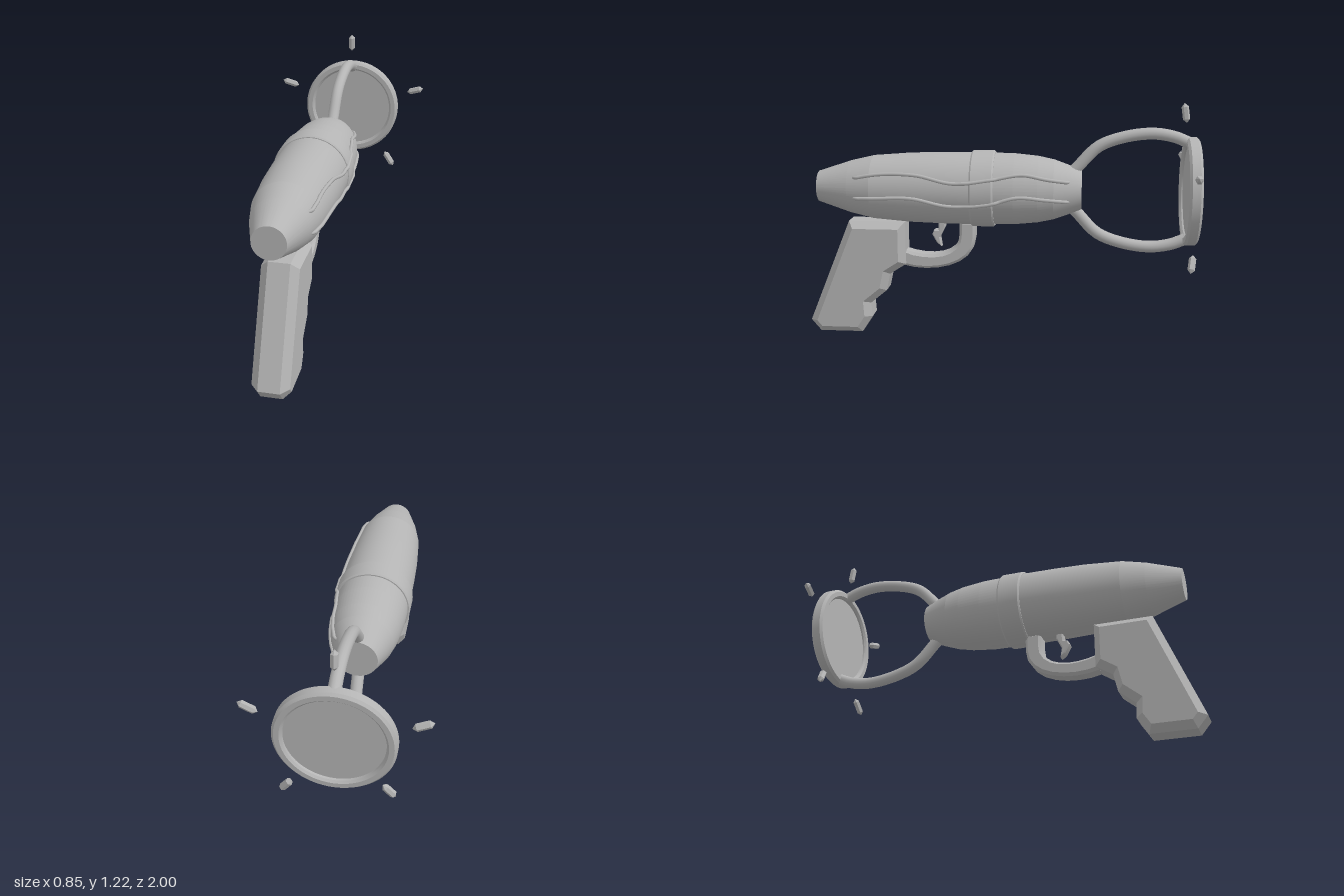
import * as THREE from 'three';
import { toCreasedNormals } from 'three/addons/utils/BufferGeometryUtils.js';

const AXIS_Y = 0.773;
const BODY = [[0.94, 0.08], [0.77, 0.136], [0.65, 0.164], [0.46, 0.179], [0.3, 0.184], [0.12, 0.186], [-0.08, 0.182],
  [-0.2, 0.17], [-0.28, 0.153], [-0.35, 0.128], [-0.42, 0.1]];

// Body radius at a given z
function bodyRadius(z) {
  for (let i = 0; i < BODY.length - 1; i++) {
    const [za, ra] = BODY[i], [zb, rb] = BODY[i + 1];
    if (z <= za && z >= zb) return ra + (rb - ra) * (za - z) / (za - zb);
  }
  return 0.1;
}

export function createModel() {
  const group = new THREE.Group();
  const grey = new THREE.MeshStandardMaterial({ color: 0xb4b4b4 });
  grey.name = 'grey';

  function add(name, geometry) {
    const mesh = new THREE.Mesh(geometry, grey);
    mesh.name = name;
    group.add(mesh);
    return mesh;
  }

  // Lathe about the barrel axis; profile is [z, radius] from back to front
  function turned(name, profile) {
    const g = new THREE.LatheGeometry(profile.map(([z, r]) => new THREE.Vector2(r, z)), 64);
    g.rotateX(Math.PI / 2);
    g.translate(0, AXIS_Y, 0);
    return add(name, toCreasedNormals(g, 0.11));
  }

  // Side outline [z, y] extruded across x with chamfered edges
  function slab(name, shape, halfWidth, bevel, inset) {
    const g = new THREE.ExtrudeGeometry(shape, {
      depth: 2 * (halfWidth - bevel), bevelEnabled: bevel > 0, bevelThickness: bevel,
      bevelSize: inset, bevelOffset: -inset, bevelSegments: 1, curveSegments: 8,
    });
    g.translate(0, 0, -(halfWidth - bevel));
    g.rotateY(-Math.PI / 2);
    return add(name, toCreasedNormals(g, 0.4));
  }
  const outline = (pts) => new THREE.Shape(pts.map(([z, y]) => new THREE.Vector2(z, y)));

  // Barrel and its band
  turned('body', [[-0.42, 0], ...BODY.slice().reverse(), [0.94, 0]]);
  turned('bodyBand', [[0.02, 0.17], [0.02, 0.19], [0.028, 0.196], [0.132, 0.196], [0.14, 0.19], [0.14, 0.17]]);

  // Grip with finger notches
  slab('grip', outline([[0.78, 0.6], [1.0, 0.06], [0.95, 0], [0.725, 0], [0.67, 0.085], [0.675, 0.16],
    [0.59, 0.23], [0.57, 0.32], [0.485, 0.375], [0.485, 0.6]]), 0.09, 0.038, 0.035);

  // Trigger guard
  const guard = new THREE.Shape();
  guard.moveTo(0.5, 0.365);
  guard.bezierCurveTo(0.36, 0.325, 0.125, 0.36, 0.122, 0.52);
  guard.lineTo(0.122, 0.605);
  guard.lineTo(0.205, 0.605);
  guard.lineTo(0.205, 0.54);
  guard.bezierCurveTo(0.2, 0.42, 0.36, 0.4, 0.5, 0.45);
  slab('triggerGuard', guard, 0.045, 0.014, 0.014);

  // Trigger
  slab('trigger', outline([[0.28, 0.61], [0.28, 0.57], [0.308, 0.515], [0.3, 0.465], [0.325, 0.485],
    [0.35, 0.53], [0.34, 0.552], [0.318, 0.555], [0.315, 0.61]]), 0.025, 0.006, 0.006);

  // Curved arms holding the ring, above and below
  for (const side of [1, -1]) {
    const pts = [[-0.34, 0.06], [-0.395, 0.115], [-0.5, 0.222], [-0.62, 0.27], [-0.77, 0.291], [-0.88, 0.275], [-0.95, 0.247]];
    const curve = new THREE.CatmullRomCurve3(pts.map(([z, y]) => new THREE.Vector3(0, AXIS_Y + side * y, z)));
    add(side > 0 ? 'upperArm' : 'lowerArm', new THREE.TubeGeometry(curve, 24, 0.03, 14));
  }

  // Dish ring and its disc
  turned('ring', [[-0.965, 0.222], [-0.99, 0.228], [-1.0, 0.238], [-1.0, 0.262], [-0.988, 0.274],
    [-0.947, 0.274], [-0.935, 0.262], [-0.935, 0.238], [-0.945, 0.228], [-0.965, 0.222]]);
  turned('disc', [[-0.98, 0], [-0.98, 0.232], [-0.953, 0.232], [-0.953, 0]]);

  // Floating crystals around the ring
  const crystalZ = [-0.928, -0.962, -0.928, -0.962, -0.962];
  crystalZ.forEach((z, i) => {
    const profile = [[0, -0.05], [0.018, -0.031], [0.018, 0.031], [0, 0.05]].map(([r, y]) => new THREE.Vector2(r, y));
    const g = new THREE.LatheGeometry(profile, 6).toNonIndexed();
    g.computeVertexNormals();
    g.rotateX(0.15);
    g.translate(0, 0.395, 0);
    g.rotateZ(i * Math.PI * 2 / 5);
    g.translate(0, AXIS_Y, z);
    add('crystal' + (i + 1), g);
  });

  // Wavy wires hugging the left flank
  const wires = {
    upperWire: [[0.74, 0.837], [0.6, 0.861], [0.41, 0.861], [0.22, 0.825], [0.03, 0.845], [-0.12, 0.868], [-0.25, 0.845], [-0.36, 0.827]],
    lowerWire: [[0.74, 0.735], [0.6, 0.742], [0.43, 0.746], [0.24, 0.708], [0.04, 0.722], [-0.1, 0.758], [-0.24, 0.745], [-0.36, 0.729]],
  };
  for (const [name, pts] of Object.entries(wires)) {
    const flat = new THREE.CatmullRomCurve3(pts.map(([z, y]) => new THREE.Vector3(0, y, z)));
    const path = flat.getPoints(40).map((p, i) => {
      const r = Math.max(bodyRadius(p.z) + 0.004, p.z > 0.0 && p.z < 0.16 ? 0.195 : 0);
      const sink = i === 0 || i === 40 ? 0.02 : 0;
      return p.setX(Math.sqrt(r * r - (p.y - AXIS_Y) ** 2) - sink);
    });
    add(name, new THREE.TubeGeometry(new THREE.CatmullRomCurve3(path), 90, 0.009, 8));
  }
  return group;
}
